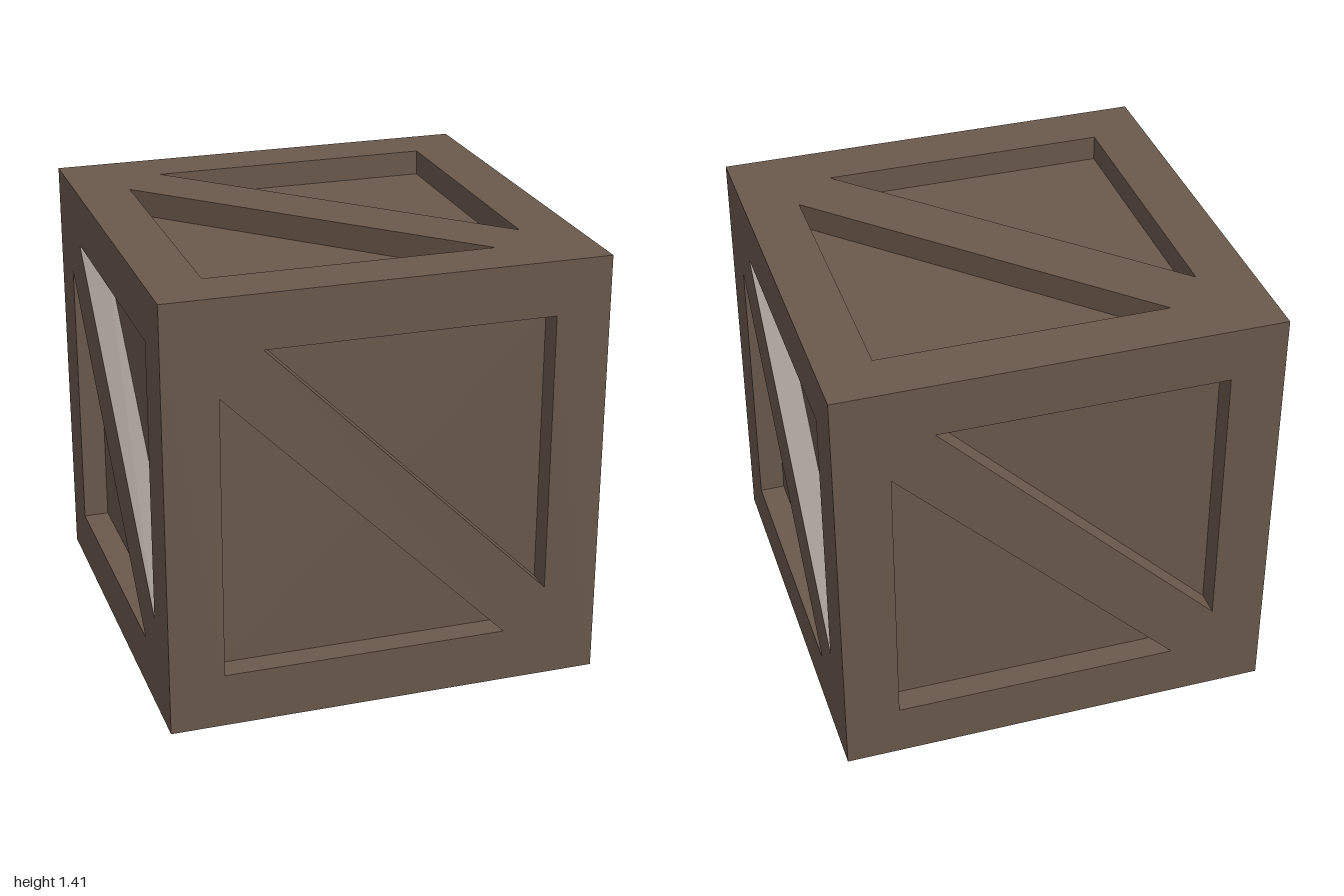
import * as THREE from 'three';

const HALF = Math.SQRT1_2; // half the crate's edge
const INSET = 0.531;       // half the width of the recessed area
const LEG = 0.925;         // short sides of each recess triangle
const DEPTH = 0.083;       // recess depth

// Frame with a diagonal brace, its outer edges mitred to meet the neighbouring panels
function panelGeometry() {
  const square = [[-HALF, -HALF], [HALF, -HALF], [HALF, HALF], [-HALF, HALF]];
  const shape = new THREE.Shape(square.map(([x, y]) => new THREE.Vector2(x, y)));
  for (const s of [-1, 1]) {
    const corner = s * INSET, end = s * (INSET - LEG);
    shape.holes.push(new THREE.Path([
      new THREE.Vector2(corner, corner),
      new THREE.Vector2(corner, end),
      new THREE.Vector2(end, corner),
    ]));
  }
  const geometry = new THREE.ExtrudeGeometry(shape, { depth: DEPTH, bevelEnabled: false });
  const p = geometry.attributes.position;
  for (let i = 0; i < p.count; i++) {
    if (p.getZ(i) < DEPTH / 2 && Math.abs(p.getX(i)) > HALF - 0.01) {
      p.setX(i, Math.sign(p.getX(i)) * (HALF - DEPTH));
      p.setY(i, Math.sign(p.getY(i)) * (HALF - DEPTH));
    }
  }
  geometry.translate(0, 0, HALF - DEPTH);
  geometry.computeVertexNormals();
  return geometry;
}

export function createModel() {
  const wood = new THREE.MeshStandardMaterial({ color: 0x6b594c });
  wood.name = 'brown wood';

  const crate = new THREE.Group();
  crate.name = 'crate';

  // Inner box forms the recess floors
  const coreSize = 2 * (HALF - DEPTH);
  const core = new THREE.Mesh(new THREE.BoxGeometry(coreSize, coreSize, coreSize), wood);
  core.name = 'innerBox';
  crate.add(core);

  // Six identical braced panels
  const geometry = panelGeometry();
  const addPanel = (name, rx, ry) => {
    const panel = new THREE.Mesh(geometry, wood);
    panel.name = name;
    panel.rotation.set(rx, ry, 0);
    crate.add(panel);
  };
  for (let i = 0; i < 4; i++) addPanel(`sidePanel${i + 1}`, 0, i * Math.PI / 2);
  addPanel('topPanel', -Math.PI / 2, 0);
  addPanel('bottomPanel', Math.PI / 2, 0);

  // The crate stands with a corner to the front
  crate.position.y = HALF;
  crate.rotation.y = Math.PI / 4 - 0.012;

  const model = new THREE.Group();
  model.name = 'woodenCrate';
  model.add(crate);
  return model;
}
